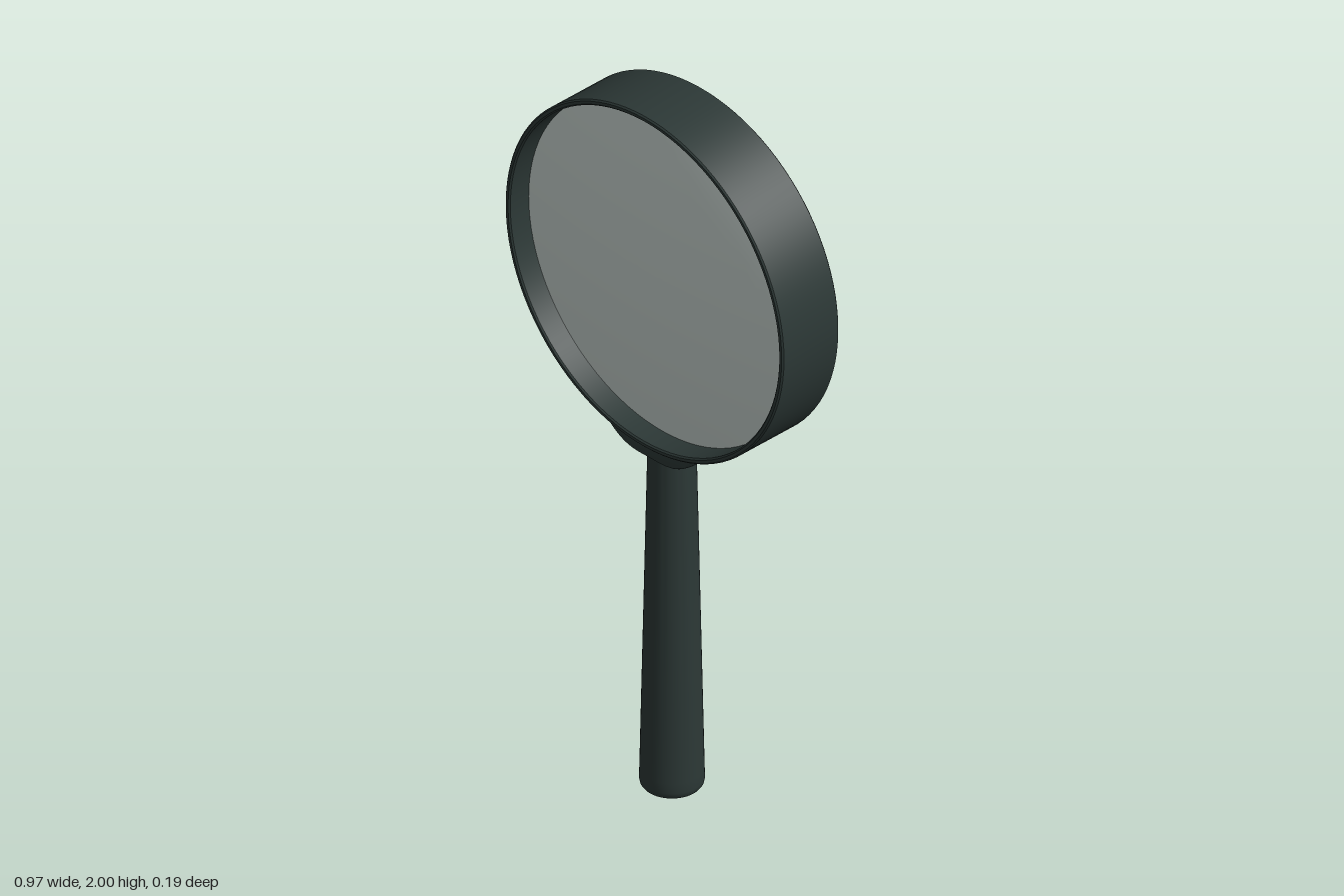
import * as THREE from 'three';
import { toCreasedNormals } from 'three/addons/utils/BufferGeometryUtils.js';

const CENTER_Y = 1.515;
const RIM_R = 0.485;

const lathe = (points, segments) =>
  new THREE.LatheGeometry(points.map(([r, y]) => new THREE.Vector2(r, y)), segments);

export function createModel() {
  const model = new THREE.Group();
  const dark = new THREE.MeshStandardMaterial({ color: 0x2c3836 });
  dark.name = 'dark green grey';
  const glass = new THREE.MeshStandardMaterial({ color: 0xc6d1cd });
  glass.name = 'pale glass';

  const add = (name, geometry, material) => {
    const mesh = new THREE.Mesh(geometry, material);
    mesh.name = name;
    model.add(mesh);
    return mesh;
  };

  // Rim: a thin hoop with slightly softened edges
  const h = 0.097, inner = RIM_R - 0.016, b = 0.004;
  const rim = lathe([
    [RIM_R - b, -h], [RIM_R, -h + b], [RIM_R, h - b], [RIM_R - b, h],
    [inner + b, h], [inner, h - b], [inner, -h + b], [inner + b, -h], [RIM_R - b, -h],
  ], 96);
  rim.rotateX(Math.PI / 2);
  add('rim', toCreasedNormals(rim, 0.6), dark).position.y = CENTER_Y;

  // Lens: a double convex disc, recessed inside the rim
  const edge = 0.03, sag = 0.05, steps = 12;
  const sphereR = (inner * inner + sag * sag) / (2 * sag);
  const face = [];
  for (let i = 0; i <= steps; i++) {
    const r = (inner + 0.002) * i / steps;
    face.push([r, edge + Math.sqrt(sphereR * sphereR - r * r) - (sphereR - sag)]);
  }
  const lens = lathe([...face.map(([r, y]) => [r, -y]), ...face.slice().reverse()], 96);
  lens.rotateX(Math.PI / 2);
  add('lens', toCreasedNormals(lens, 0.6), glass).position.y = CENTER_Y;

  // Collar: a saddle that hugs the rim and narrows to the handle
  const seatR = RIM_R - 0.002, spread = 0.36;
  const saddle = new THREE.Shape();
  saddle.absarc(0, CENTER_Y, seatR, -Math.PI / 2 - spread, -Math.PI / 2 + spread, false);
  saddle.bezierCurveTo(0.12, 1.015, 0.09, 0.996, 0.04, 0.994);
  saddle.lineTo(-0.04, 0.994);
  saddle.bezierCurveTo(-0.09, 0.996, -0.12, 1.015, -seatR * Math.sin(spread),
    CENTER_Y - seatR * Math.cos(spread));
  const collar = new THREE.ExtrudeGeometry(saddle, {
    depth: 0.14, bevelThickness: 0.008, bevelSize: 0.006, bevelSegments: 3, curveSegments: 20,
  });
  collar.translate(0, 0, -0.07);
  add('collar', toCreasedNormals(collar, 0.6), dark);

  // Handle: a tapered grip with a rounded butt
  const handle = lathe([
    [0, 0], [0.066, 0], [0.074, 0.004], [0.079, 0.011], [0.081, 0.022],
    [0.08, 0.05], [0.06, 1.0], [0, 1.0],
  ], 48);
  add('handle', toCreasedNormals(handle, 0.7), dark);

  return model;
}
